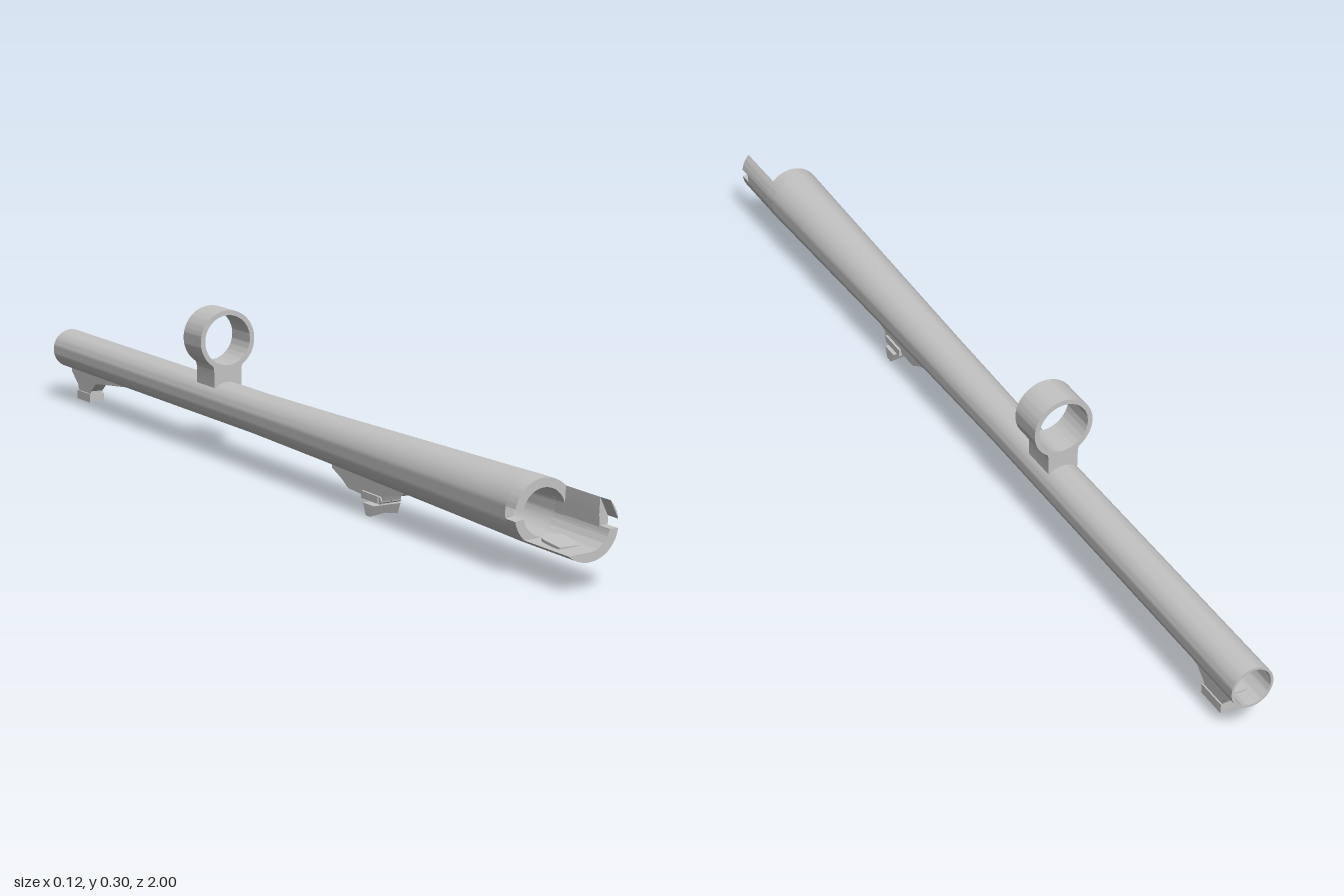
import * as THREE from 'three';
import { toCreasedNormals } from 'three/addons/utils/BufferGeometryUtils.js';

const AXIS = 0.113; // height of the tube's centre line

export function createModel() {
  const model = new THREE.Group();
  const steel = new THREE.MeshStandardMaterial({ color: 0xc4c4c4 });
  steel.name = 'light grey steel';

  const add = (name, geo, x = 0, y = 0, z = 0) => {
    const mesh = new THREE.Mesh(toCreasedNormals(geo, 0.6), steel);
    mesh.name = name;
    mesh.position.set(x, y, z);
    model.add(mesh);
    return mesh;
  };
  // Front-facing section pushed along z
  const alongZ = (shape, z0, z1) =>
    new THREE.ExtrudeGeometry(shape, { depth: z1 - z0, bevelEnabled: false, curveSegments: 40 }).translate(0, 0, z0);
  const polygon = points => new THREE.Shape(points.map(p => new THREE.Vector2(...p)));
  // Side outline of [z, y] points, centred across x
  const alongX = (points, width) =>
    new THREE.ExtrudeGeometry(polygon(points), { depth: width, bevelEnabled: false })
      .translate(0, 0, -width / 2).rotateY(-Math.PI / 2);
  const box = (name, w, h, d, x, y, z) => add(name, new THREE.BoxGeometry(w, h, d), x, y, z);

  // Tapered hollow tube
  const profile = [
    [0.037, -1], [0.042, -1], [0.042, -0.12], [0.046, 0.15], [0.052, 0.45], [0.058, 0.75],
    [0.06, 0.84], [0.043, 0.84], [0.042, 0.7], [0.038, 0.5], [0.037, -1],
  ].map(p => new THREE.Vector2(...p));
  add('barrelTube', new THREE.LatheGeometry(profile, 40).rotateX(Math.PI / 2), 0, AXIS);

  // Collar with a notch in its right side
  const R = 0.06, r = 0.043, gap = 0.18;
  const collar = new THREE.Shape();
  collar.absarc(0, 0, R, -Math.PI + gap, Math.PI - gap, false);
  collar.absarc(0, 0, r, Math.PI - gap, -Math.PI + gap, true);
  add('notchedCollar', alongZ(collar, 0.84, 0.87), 0, AXIS);

  // Cut-away end: a floor and one wall remain, with knife-shaped edges
  const floorStart = Math.PI + Math.asin(0.045 / R);
  const openEnd = (outerEnd, innerEnd) => {
    const s = new THREE.Shape();
    s.absarc(0, 0, R, floorStart, Math.PI * 2 + outerEnd, false);
    s.absarc(0, 0, r, Math.PI * 2 + innerEnd, Math.PI * 1.5, true);
    return s;
  };
  add('openEnd', alongZ(openEnd(0.76, 0.23), 0.87, 0.97), 0, AXIS);
  add('openEndTip', alongZ(openEnd(-0.13, -0.17), 0.97, 1), 0, AXIS);
  const wallTip = new THREE.Shape();
  wallTip.moveTo(0.043, 0.008);
  wallTip.absarc(0, 0, R, 0.136, 0.76, false);
  add('upperWallTip', alongZ(wallTip, 0.97, 1), 0, AXIS);

  // Arched ramp on the open floor
  const arch = new THREE.Shape();
  arch.moveTo(-0.027, -0.035);
  arch.lineTo(0.027, -0.035);
  arch.absarc(0, 0.01, 0.027, 0, Math.PI, false);
  const ramp = new THREE.ExtrudeGeometry(arch, { depth: 0.005, bevelEnabled: false });
  add('floorRamp', ramp.rotateX(-Math.PI / 2 + 0.08), 0, 0.07, 0.92);

  // Loop on a flared pedestal
  const ring = new THREE.Shape();
  ring.absarc(0, 0, 0.061, 0, Math.PI * 2, false);
  const hole = new THREE.Path();
  hole.absarc(0, 0, 0.051, 0, Math.PI * 2, true);
  ring.holes.push(hole);
  add('mountingLoop', alongZ(ring, -0.335, -0.26), 0, 0.24);
  const foot = new THREE.Shape();
  foot.moveTo(-0.031, 0.145);
  foot.lineTo(0.031, 0.145);
  foot.lineTo(0.031, 0.178);
  foot.quadraticCurveTo(0.032, 0.194, 0.046, 0.201);
  foot.absarc(0, 0.24, 0.056, -0.77, -Math.PI + 0.77, true);
  foot.lineTo(-0.046, 0.201);
  foot.quadraticCurveTo(-0.032, 0.194, -0.031, 0.178);
  add('loopPedestal', alongZ(foot, -0.335, -0.26));

  // Lug under the thick end, with a clamp and a cross foot
  add('frontLug', alongX([
    [0.45, 0.066], [0.44, 0.058], [0.38, 0.046], [0.375, 0.036], [0.3, 0.034],
    [0.25, 0.036], [0.225, 0.05], [0.19, 0.064], [0.19, 0.08], [0.45, 0.08],
  ], 0.038));
  box('clampBar', 0.048, 0.014, 0.06, 0, 0.036, 0.335);
  for (const side of [-1, 1]) {
    const pin = new THREE.CylinderGeometry(0.007, 0.007, 0.02, 12).rotateZ(Math.PI / 2);
    add('clampPin', pin, side * 0.012, 0.036, 0.366);
  }
  box('clampNeck', 0.024, 0.014, 0.035, 0, 0.025, 0.338);
  // The foot narrows from top to bottom, with a shallow V underneath
  const crossFoot = alongZ(polygon([
    [-0.03, 0.002], [0, 0.007], [0.03, 0.002], [0.029, 0.024], [-0.029, 0.024],
  ]), -1, 1);
  const pos = crossFoot.attributes.position;
  for (let i = 0; i < pos.count; i++) pos.setZ(i, pos.getZ(i) * (0.007 + 0.5 * pos.getY(i)));
  add('crossFoot', crossFoot, 0, 0, 0.34);

  // Lug under the slim end, with a small lipped foot
  add('rearLug', alongX([
    [-0.69, 0.074], [-0.8, 0.062], [-0.845, 0.056], [-0.87, 0.036], [-0.87, 0.026],
    [-0.93, 0.026], [-0.935, 0.042], [-0.965, 0.066], [-0.965, 0.08], [-0.69, 0.08],
  ], 0.028));
  add('rearLugFoot', alongZ(polygon([
    [-0.017, 0.011], [0, 0.014], [0.017, 0.011], [0.017, 0.03], [-0.017, 0.03],
  ]), -0.932, -0.868));

  return model;
}
